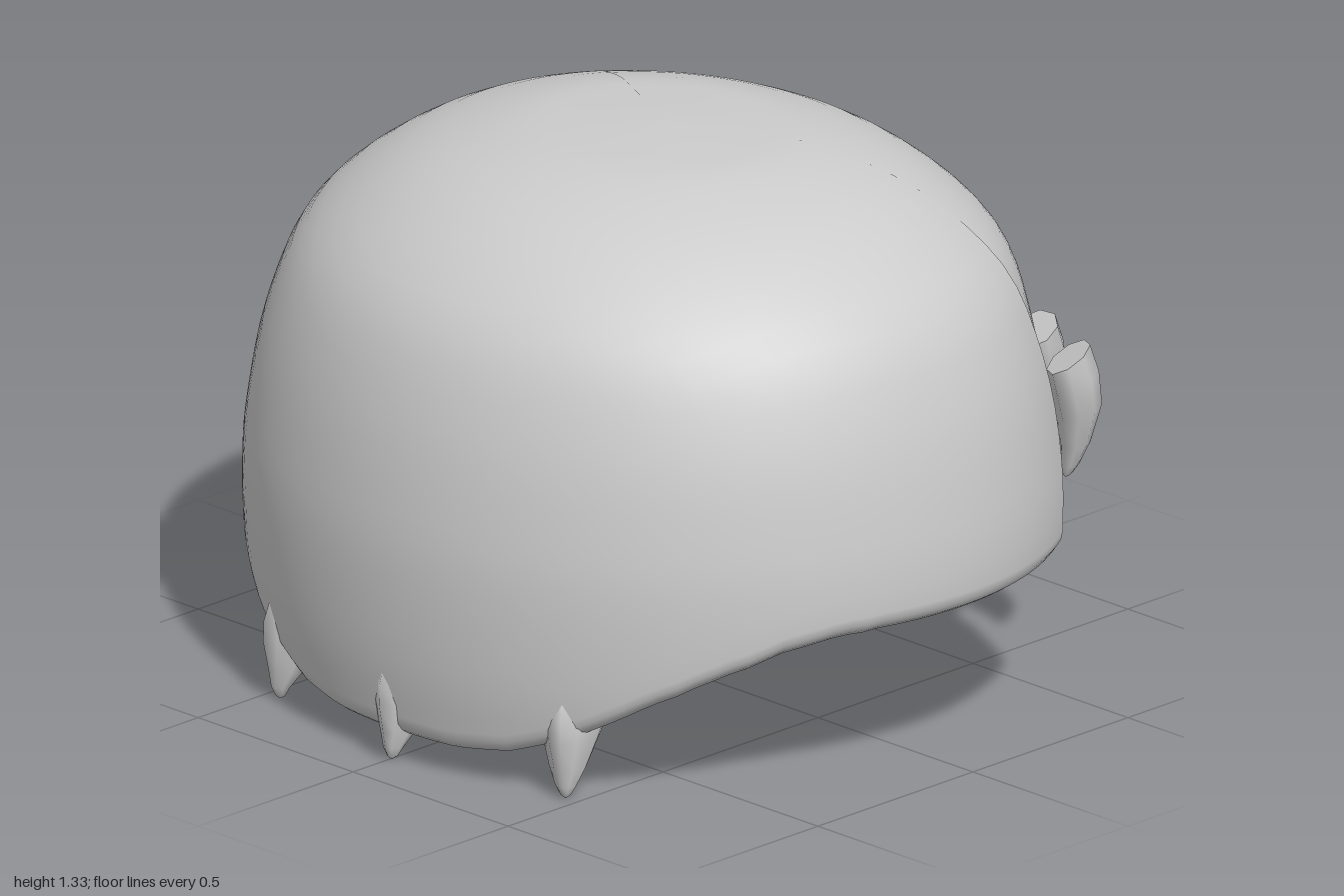
import * as THREE from 'three';

const rad = THREE.MathUtils.degToRad;
const smooth = THREE.MathUtils.smoothstep;
const material = new THREE.MeshStandardMaterial({ color: 0xcccccc, side: THREE.DoubleSide });

// Dome profile: x = fraction of full radius, y = height, from crown downwards
const profile = new THREE.SplineCurve([
  [0, 1.325], [0.2, 1.318], [0.39, 1.3], [0.63, 1.22], [0.84, 1.06], [0.94, 0.85],
  [0.988, 0.62], [1, 0.45], [0.99, 0.25], [0.965, 0.1], [0.95, 0.02],
].map(([x, y]) => new THREE.Vector2(x, y))).getPoints(500);

// Rim height by angle from the front (degrees)
const frontRim = [[0, 0.065], [11, 0.065], [20, 0.085], [30, 0.145], [40, 0.23], [50, 0.305],
  [60, 0.365], [68, 0.39], [76, 0.395], [180, 0.395]];
function rimHeight(deg) {
  const a = Math.abs(deg);
  const i = frontRim.findIndex((p, k) => k > 0 && a <= p[0]);
  const [a0, y0] = frontRim[i - 1], [a1, y1] = frontRim[i];
  return y0 + (y1 - y0) * (a - a0) / (a1 - a0);
}

const EDGE = 119;
const DOWN = 28, ROLL = 8;

// Wall section: outer face, rounded rim, then a lip folded up inside
function wallSection(rim, lip, shape) {
  const half = lip / 2;
  const end = profile.findIndex(p => p.y <= rim + half);
  const section = [];
  for (let j = 0; j <= DOWN; j++) {
    const q = shape(profile[Math.round(end * j / DOWN)]);
    section.push([q.x, q.y]);
  }
  const [r, y] = section[DOWN];
  for (let k = 1; k <= ROLL; k++) {
    const t = Math.PI * k / ROLL;
    section.push([r - half * (1 - Math.cos(t)), y - half * Math.sin(t)]);
  }
  section.push([r - lip * 1.05, y + half]);
  return section;
}

// Lofts wall sections around the dome between two angles
function wallPanel(name, from, to, columns, sectionAt, bend) {
  const pos = [], index = [];
  for (let i = 0; i <= columns; i++) {
    const deg = from + (to - from) * i / columns;
    const section = sectionAt(deg);
    const n = section.length;
    section.forEach(([r, y], j) => {
      const phi = rad(deg + bend(deg, y));
      const c = Math.cos(phi);
      pos.push(r * Math.sin(phi), y, r * c * (c > 0 ? 0.92 : 0.855));
      if (i < columns && j < n - 1) {
        const a = i * n + j;
        index.push(a, a + 1, a + n + 1, a, a + n + 1, a + n);
      }
    });
  }
  return meshFrom(name, pos, index);
}

function meshFrom(name, pos, index) {
  const g = new THREE.BufferGeometry();
  g.setAttribute('position', new THREE.Float32BufferAttribute(pos, 3));
  g.setIndex(index);
  g.computeVertexNormals();
  const mesh = new THREE.Mesh(g, material);
  mesh.name = name;
  return mesh;
}

// Tooth from rings [height, outward shift, half width, half depth];
// ridge narrows the outer side, tilt raises the outer side of the top
function tooth(name, rings, ridge, tilt, [x, y, z], turn) {
  const sides = 8, pos = [], index = [];
  rings.forEach(([h, out, w, d], i) => {
    for (let k = 0; k < sides; k++) {
      const t = 2 * Math.PI * k / sides, c = Math.cos(t);
      pos.push(w * Math.sin(t) * (1 - ridge * c), h + tilt * d * c * h / rings[0][0], out + d * c);
      if (i < rings.length - 1) {
        const a = i * sides + k, b = i * sides + (k + 1) % sides;
        index.push(a, a + sides, b + sides, a, b + sides, b);
      }
    }
  });
  // Flat top with its own vertices for a crisp edge
  const top = pos.length / 3;
  pos.push(...pos.slice(0, sides * 3));
  for (let k = 1; k < sides - 1; k++) index.push(top, top + k, top + k + 1);
  const mesh = meshFrom(name, pos, index);
  mesh.position.set(x, y, z);
  mesh.rotation.y = turn;
  return mesh;
}

export function createModel() {
  const model = new THREE.Group();

  // Main shell: front and sides
  model.add(wallPanel('frontShell', -EDGE, EDGE, 96,
    deg => wallSection(rimHeight(deg), 0.1, p => p),
    (deg, y) => Math.sign(deg) * 3.5 * smooth(y, 0.4, 0.72) * (Math.abs(deg) / EDGE) ** 8));

  // Rear shell: higher rim, recessed beside the main shell and flush at the crown and back
  model.add(wallPanel('rearShell', EDGE - 3, 363 - EDGE, 48,
    deg => {
      const side = Math.abs(deg - 180) / 64;
      const recess = 0.045 * smooth(side, 0.2, 0.9);
      return wallSection(0.585 + 0.09 * side ** 2, 0.05, p => ({
        x: p.x * (1 - recess * (1 - smooth(p.y, 0.75, 1.2))), y: p.y - 0.001,
      }));
    },
    () => 0));

  // Lower teeth behind the front rim
  const lowerRings = [[0.24, -0.09, 0.085, 0.115], [0.19, -0.058, 0.077, 0.098], [0.14, -0.032, 0.066, 0.073],
    [0.07, -0.012, 0.043, 0.04], [0.03, 0, 0.025, 0.022], [0.008, 0, 0.013, 0.012], [0, 0, 0.003, 0.003]];
  for (const s of [-1, 0, 1]) {
    model.add(tooth('lowerTooth', lowerRings, 0.4, 0, [s * 0.46, 0, s ? 0.775 : 0.875], s * rad(28)));
  }

  // Upper teeth hanging over the rear rim
  const upperRings = [[0.29, -0.005, 0.082, 0.05], [0.23, 0.01, 0.076, 0.055], [0.16, 0.02, 0.06, 0.052],
    [0.08, 0.012, 0.038, 0.034], [0.03, 0, 0.022, 0.02], [0.008, -0.008, 0.013, 0.012], [0, -0.01, 0.003, 0.003]];
  const upper = [[-0.67, 0.5, -0.63], [-0.34, 0.44, -0.81], [0.08, 0.46, -0.86],
    [0.44, 0.44, -0.765], [0.74, 0.5, -0.575]];
  for (const at of upper) {
    model.add(tooth('upperTooth', upperRings, 0, 0.6, at, Math.atan2(at[0] * 0.8, at[2])));
  }
  return model;
}
